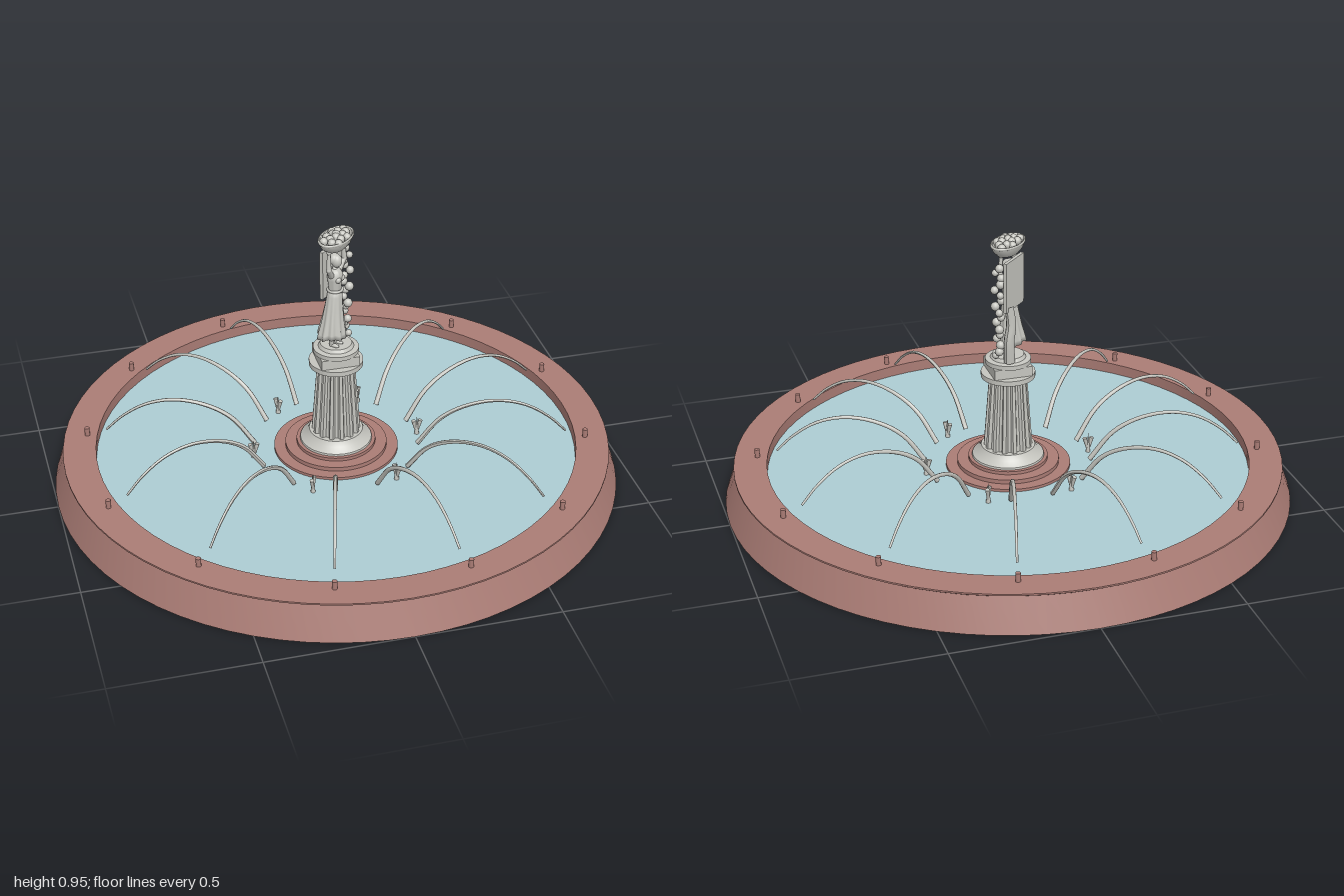
import * as THREE from 'three';
import { toCreasedNormals } from 'three/addons/utils/BufferGeometryUtils.js';

const mat = (name, color, side = THREE.FrontSide) => {
  const m = new THREE.MeshStandardMaterial({ color, side });
  m.name = name;
  return m;
};

export function createModel() {
  const model = new THREE.Group();
  model.name = 'fountain';
  const pink = mat('pinkGranite', 0xaa7c75);
  const stone = mat('paleStone', 0xc5c5bf);
  const water = mat('water', 0xadccd3);

  const add = (parent, name, geo, material, x = 0, y = 0, z = 0) => {
    const mesh = new THREE.Mesh(geo, material);
    mesh.name = name;
    mesh.position.set(x, y, z);
    parent.add(mesh);
    return mesh;
  };
  const lathe = (pts, seg = 64, crease = 0.5) => toCreasedNormals(
    new THREE.LatheGeometry(pts.map(p => new THREE.Vector2(...p)), seg), crease);
  // limb or stem between two points
  const limb = (parent, name, a, b, r0, r1) => {
    const A = new THREE.Vector3(...a), B = new THREE.Vector3(...b);
    const m = add(parent, name, new THREE.CylinderGeometry(r1, r0, A.distanceTo(B), 10), stone);
    m.position.copy(A).lerp(B, 0.5);
    m.quaternion.setFromUnitVectors(new THREE.Vector3(0, 1, 0), B.sub(A).normalize());
    return m;
  };
  // tube whose radius changes from r0 to r1 along its curve
  const taperedTube = (curve, r0, r1, seg = 28, sides = 8) => {
    const geo = new THREE.TubeGeometry(curve, seg, 1, sides);
    const p = geo.attributes.position, v = new THREE.Vector3();
    for (let i = 0; i < p.count; i++) {
      const t = Math.floor(i / (sides + 1)) / seg;
      const c = curve.getPointAt(t);
      v.fromBufferAttribute(p, i).sub(c).multiplyScalar(r0 + (r1 - r0) * t).add(c);
      p.setXYZ(i, v.x, v.y, v.z);
    }
    geo.computeVertexNormals();
    return geo;
  };

  // Basin, floor and water
  add(model, 'basinWall', lathe([[0.85, 0], [1, 0], [0.957, 0.118], [0.966, 0.124],
    [0.966, 0.13], [0.85, 0.13], [0.85, 0]], 72), pink);
  add(model, 'basinFloor', new THREE.CylinderGeometry(0.85, 0.85, 0.01, 72), stone, 0, 0.005, 0);
  add(model, 'waterSurface', new THREE.CircleGeometry(0.85, 72).rotateX(-Math.PI / 2), water, 0, 0.09, 0);

  // Stepped plinth and pedestal foot
  add(model, 'steppedPlinth', lathe([[0.22, 0.01], [0.22, 0.1], [0.18, 0.1], [0.18, 0.115],
    [0.14, 0.115], [0.14, 0.127], [0, 0.127]]), pink);
  add(model, 'pedestalFoot', lathe([[0.128, 0.125], [0.126, 0.134], [0.105, 0.15],
    [0.095, 0.168], [0, 0.168]], 48), stone);

  // Fluted column: every other strip is sunk in
  const column = new THREE.CylinderGeometry(0.066, 0.086, 0.27, 84, 1, true);
  const cp = column.attributes.position;
  for (let i = 0; i < cp.count; i++) {
    const k = (i % 85) % 6;
    const f = k === 2 || k === 3 || k === 4 ? 0.87 : 1;
    cp.setX(i, cp.getX(i) * f);
    cp.setZ(i, cp.getZ(i) * f);
  }
  add(model, 'flutedColumn', toCreasedNormals(column, 0.4), stone, 0, 0.3, 0);
  add(model, 'capital', lathe([[0, 0.425], [0.07, 0.425], [0.095, 0.434], [0.095, 0.452], [0, 0.452]], 40), stone);
  add(model, 'squareBlock', new THREE.BoxGeometry(0.136, 0.036, 0.136), stone, 0, 0.47, 0);
  add(model, 'statueBase', lathe([[0, 0.487], [0.08, 0.487], [0.08, 0.503], [0.062, 0.506],
    [0.055, 0.518], [0, 0.52]], 40), stone);

  // Water jets with a spout on the rim for each
  for (let i = 0; i < 12; i++) {
    const a = THREE.MathUtils.degToRad(15 + i * 30);
    const at = (r, y) => new THREE.Vector3(Math.cos(a) * r, y, Math.sin(a) * r);
    const path = new THREE.CatmullRomCurve3([at(0.815, 0.155), at(0.755, 0.212), at(0.67, 0.262),
      at(0.57, 0.28), at(0.46, 0.258), at(0.37, 0.205), at(0.29, 0.1)]);
    add(model, 'waterJet', taperedTube(path, 0.004, 0.009), stone);
    const s = at(0.885, 0.143);
    add(model, 'rimSpout', new THREE.CylinderGeometry(0.009, 0.009, 0.034, 12), pink, s.x, s.y, s.z);
  }

  // Small bubbling nozzles around the plinth
  for (let i = 0; i < 6; i++) {
    const nozzle = new THREE.Group();
    nozzle.name = 'bubbler';
    nozzle.rotation.y = i * Math.PI / 3;
    add(nozzle, 'bubblerCone', new THREE.ConeGeometry(0.009, 0.075, 8), stone, 0.3, 0.126, 0);
    limb(nozzle, 'bubblerSpray', [0.3, 0.09, 0], [0.313, 0.145, 0], 0.003, 0.008);
    limb(nozzle, 'bubblerSpray', [0.3, 0.09, 0], [0.287, 0.145, 0], 0.003, 0.008);
    model.add(nozzle);
  }

  // Statue, turned towards the front left corner
  const statue = new THREE.Group();
  statue.name = 'statue';
  statue.rotation.y = Math.PI / 4;
  model.add(statue);

  // Skirt with folds that deepen towards the hem
  const skirt = new THREE.LatheGeometry([[0.03, 0.562], [0.052, 0.558], [0.05, 0.575], [0.041, 0.62],
    [0.034, 0.67], [0.029, 0.71], [0.025, 0.735], [0, 0.737]].map(p => new THREE.Vector2(...p)), 60);
  const sp = skirt.attributes.position;
  for (let i = 0; i < sp.count; i++) {
    const x = sp.getX(i), y = sp.getY(i), z = sp.getZ(i);
    const low = Math.max(0, (0.735 - y) / 0.177);
    const f = 1 + 0.1 * low * Math.sin(Math.atan2(z, x) * 10 + low);
    sp.setXYZ(i, x * f - 0.016 * low - 0.006, y + 0.006 * low * Math.sin(Math.atan2(z, x) * 3), z * f * 0.9 - 0.004 * low);
  }
  skirt.computeVertexNormals();
  add(statue, 'skirt', skirt, stone);
  add(statue, 'bodice', lathe([[0.025, 0.725], [0.026, 0.745], [0.031, 0.775], [0.032, 0.79],
    [0.022, 0.806], [0.01, 0.813], [0.009, 0.828], [0, 0.828]], 24, 1.2), stone, -0.006, 0, 0).scale.z = 0.8;
  add(statue, 'sash', new THREE.TorusGeometry(0.025, 0.005, 8, 24).rotateX(Math.PI / 2), stone, -0.006, 0.732, 0);
  add(statue, 'head', new THREE.SphereGeometry(0.019, 20, 14), stone, -0.006, 0.843, 0.006).scale.y = 1.25;
  add(statue, 'hair', new THREE.SphereGeometry(0.021, 16, 12), stone, -0.006, 0.848, -0.003);
  add(statue, 'hairBun', new THREE.SphereGeometry(0.011, 12, 8), stone, -0.006, 0.846, -0.023);
  for (const s of [-1, 1]) {
    const x = d => -0.006 + s * d;
    limb(statue, 'leg', [-0.016 + s * 0.013, 0.518, 0], [-0.016 + s * 0.016, 0.6, 0], 0.008, 0.013);
    add(statue, 'foot', new THREE.SphereGeometry(0.01, 12, 8), stone, -0.016 + s * 0.014, 0.523, 0.012).scale.set(0.8, 0.7, 1.8);
    add(statue, 'bust', new THREE.SphereGeometry(0.012, 12, 8), stone, x(0.012), 0.777, 0.018);
    limb(statue, 'upperArm', [x(0.026), 0.795, 0], [x(0.052), 0.83, 0.006], 0.011, 0.009);
    add(statue, 'elbow', new THREE.SphereGeometry(0.0095, 12, 8), stone, x(0.052), 0.83, 0.006);
    limb(statue, 'forearm', [x(0.052), 0.83, 0.006], [x(0.048), 0.892, 0.004], 0.009, 0.006);
    add(statue, 'hand', new THREE.SphereGeometry(0.009, 12, 8), stone, x(0.048), 0.896, 0.004);
  }

  // Cloth hanging behind the figure, with a narrow tail
  add(statue, 'backCloth', new THREE.BoxGeometry(0.125, 0.18, 0.012), stone, 0.015, 0.793, -0.03);
  const tail = new THREE.CatmullRomCurve3([[0.05, 0.72, -0.03], [0.045, 0.65, -0.036],
    [0.052, 0.59, -0.032], [0.046, 0.51, -0.03]].map(p => new THREE.Vector3(...p)));
  add(statue, 'clothTail', taperedTube(tail, 0.016, 0.02, 16, 10), stone);

  // Fruit garland down the figure's left side
  for (let i = 0; i < 17; i++) {
    const r = 0.012 + 0.004 * Math.abs(Math.sin(i * 2.3));
    add(statue, 'garlandFruit', new THREE.SphereGeometry(r, 12, 8), stone,
      0.06 + 0.008 * Math.sin(i * 1.7), 0.53 + i * 0.0205, 0.004 + 0.012 * Math.cos(i * 2.1));
  }

  // Oval basket of fruit carried overhead
  const basket = new THREE.Group();
  basket.name = 'fruitBasket';
  basket.scale.z = 0.62;
  statue.add(basket);
  add(basket, 'basketBowl', lathe([[0, 0.893], [0.052, 0.893], [0.07, 0.908], [0.08, 0.926],
    [0.082, 0.933], [0.074, 0.933], [0.066, 0.92], [0, 0.918]], 32), stone);
  add(basket, 'basketRim', new THREE.TorusGeometry(0.079, 0.005, 8, 36).rotateX(Math.PI / 2), stone, 0, 0.931, 0);
  for (let i = 0; i < 15; i++) {
    const r = 0.064 * Math.sqrt(i / 14), a = i * 2.4;
    add(statue, 'basketFruit', new THREE.SphereGeometry(0.0145, 14, 10), stone,
      r * Math.cos(a), 0.94 - r * 0.16, r * Math.sin(a) * 0.6);
  }
  return model;
}
